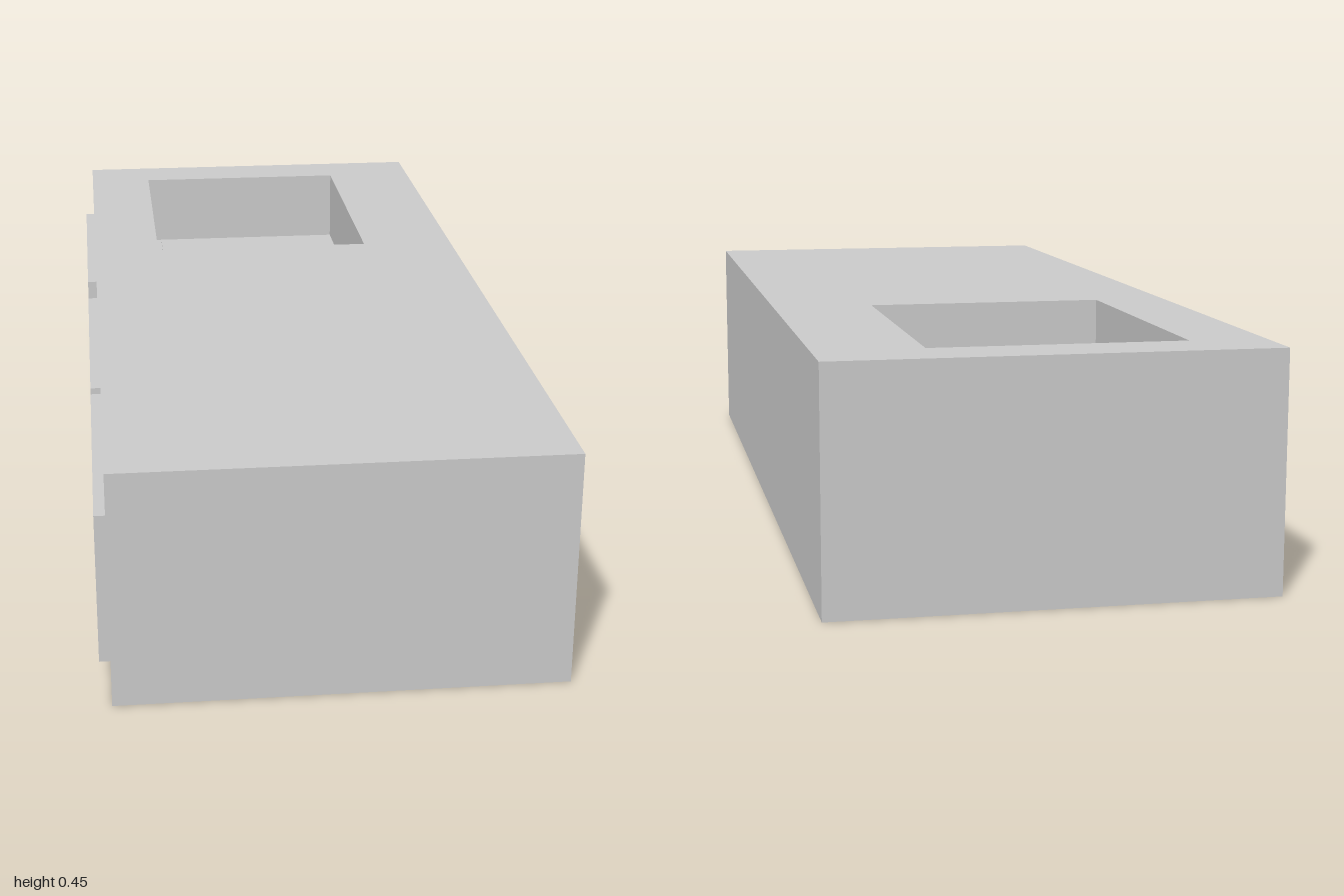
import * as THREE from 'three';

const grey = new THREE.MeshStandardMaterial({ color: 0xcccccc });
const inside = new THREE.MeshStandardMaterial({ color: 0xcccccc, side: THREE.BackSide });

// Box sides in index order: +x, -x, +y, -y, +z, -z
function boxShell(x0, x1, y0, y1, z0, z1, sides = [0, 1, 2, 3, 4, 5]) {
  const g = new THREE.BoxGeometry(x1 - x0, y1 - y0, z1 - z0);
  const index = Array.from(g.index.array);
  g.setIndex(sides.flatMap((s) => index.slice(s * 6, s * 6 + 6)));
  g.clearGroups();
  return g.translate((x0 + x1) / 2, (y0 + y1) / 2, (z0 + z1) / 2);
}

// Rectangle in plan; shape y becomes -z once laid flat
function planRect(x0, x1, z0, z1, Type = THREE.Shape) {
  return new Type([[x0, -z1], [x1, -z1], [x1, -z0], [x0, -z0]].map(([x, y]) => new THREE.Vector2(x, y)));
}

export function createModel() {
  const group = new THREE.Group();
  const add = (name, geometry, material = grey) => {
    const mesh = new THREE.Mesh(geometry, material);
    mesh.name = name;
    group.add(mesh);
    return mesh;
  };

  const body = [-0.405, 0.425, -1, 1];
  const basin = [-0.26, 0.222, -0.88, -0.26];
  const top = 0.45, floorY = 0.286, trayHeight = 0.003, inset = 0.03;
  const drain = { x: -0.07, z: -0.57, r: 0.047 };
  const drainHole = () => new THREE.Path().absarc(drain.x, -drain.z, drain.r, 0, Math.PI * 2);

  // Cabinet sides and underside
  add('cabinetBody', boxShell(body[0], body[1], 0, top, body[2], body[3], [0, 1, 3, 4, 5]));

  // Worktop with the basin opening
  const worktop = planRect(...body);
  worktop.holes.push(planRect(...basin, THREE.Path));
  add('worktop', new THREE.ShapeGeometry(worktop).rotateX(-Math.PI / 2).translate(0, top, 0));

  // Basin walls and floor
  add('basinWalls', boxShell(basin[0], basin[1], floorY, top, basin[2], basin[3], [0, 1, 4, 5]), inside);
  const floor = planRect(...basin);
  floor.holes.push(drainHole());
  add('basinFloor', new THREE.ShapeGeometry(floor, 24).rotateX(-Math.PI / 2).translate(0, floorY, 0));

  // Thin tray on the basin floor
  const tray = planRect(basin[0] + inset, basin[1] - inset, basin[2] + inset, basin[3] - inset);
  tray.holes.push(drainHole());
  add('basinTray', new THREE.ExtrudeGeometry(tray, { depth: trayHeight, bevelEnabled: false, curveSegments: 24 })
    .rotateX(-Math.PI / 2).translate(0, floorY, 0));

  // Rounded drain recess
  const bowl = new THREE.SphereGeometry(drain.r, 32, 12, 0, Math.PI * 2, Math.PI / 2, Math.PI / 2);
  add('drain', bowl, inside).position.set(drain.x, floorY, drain.z);

  // Three door panels along one long side
  [[-0.86, -0.29], [-0.17, 0.393], [0.425, 0.99]].forEach(([z0, z1], i) => {
    add('doorPanel' + (i + 1), boxShell(-0.425, body[0], 0.085, 0.368, z0, z1));
  });

  return group;
}
